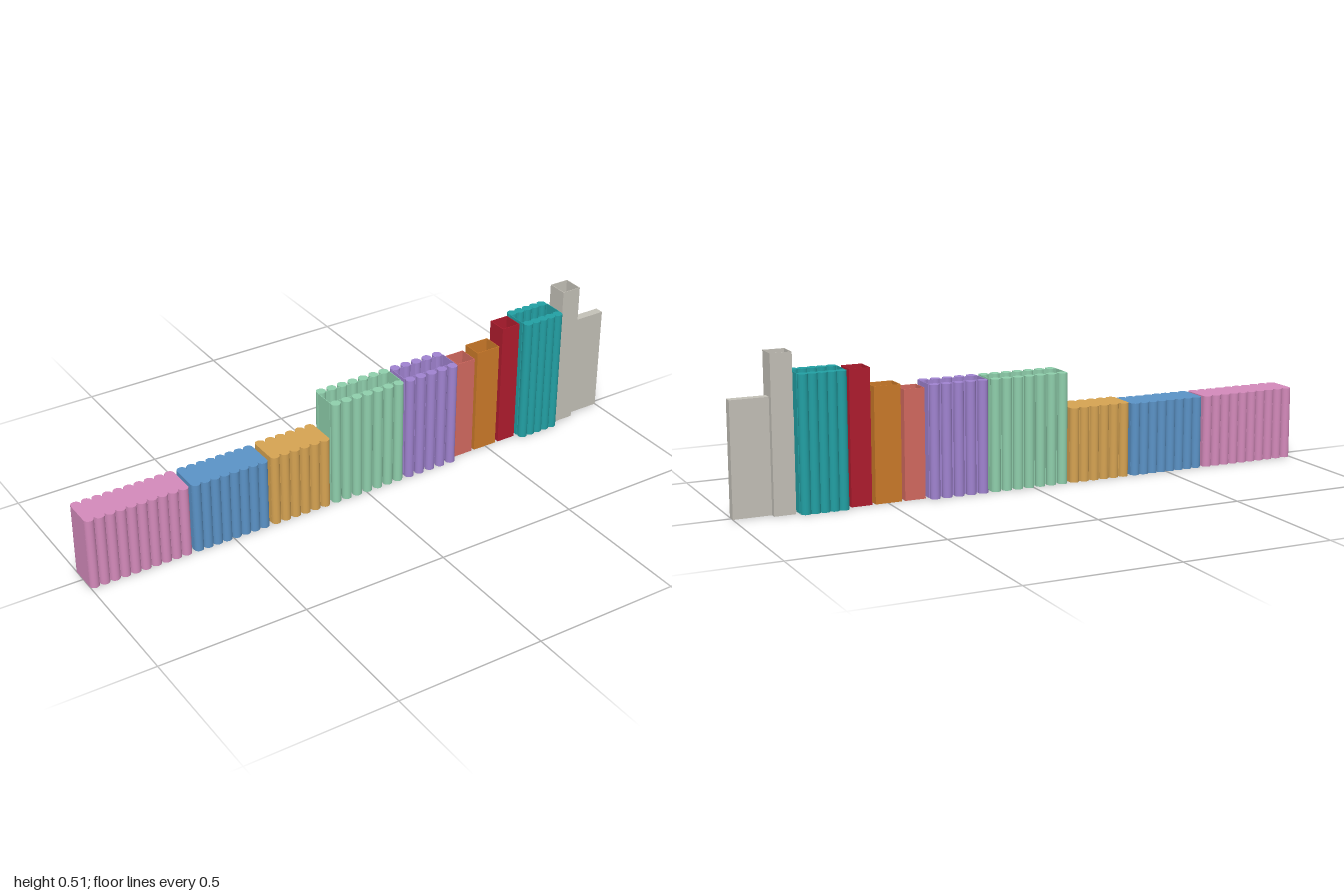
import * as THREE from 'three';

const mat = (name, color) => {
  const m = new THREE.MeshStandardMaterial({ color, side: THREE.DoubleSide });
  m.name = name;
  return m;
};

// name, colour, x start, x end, height, ribs per side (0 = plain), closed top
const SECTIONS = [
  ['pink', 0xd48abb, -1.0, -0.648, 0.245, 10, true],
  ['blue', 0x5b93c7, -0.638, -0.367, 0.245, 8, true],
  ['gold', 0xd6a352, -0.356, -0.138, 0.25, 6, true],
  ['green', 0x8fcfac, -0.127, 0.147, 0.37, 7, false],
  ['purple', 0xa083d0, 0.159, 0.36, 0.37, 5, false],
  ['salmon', 0xd46a60, 0.372, 0.442, 0.36, 0, false],
  ['orange', 0xcc7a29, 0.453, 0.542, 0.378, 0, false],
  ['red', 0xb01c2e, 0.554, 0.623, 0.44, 0, false],
  ['teal', 0x22a0a4, 0.635, 0.793, 0.44, 5, false],
  ['stone', 0xc4c1b8, 0.805, 0.875, 0.508, 0, false],
];
const HALF = 0.035, WALL = 0.002, RIB = 0.0165, RIB_Z = 0.045;

function add(parent, name, geometry, material, x, y, z) {
  const mesh = new THREE.Mesh(geometry, material);
  mesh.name = name;
  mesh.position.set(x, y, z);
  parent.add(mesh);
  return mesh;
}

function rect(Type, hx, hz) {
  const p = new Type();
  p.moveTo(-hx, -hz);
  p.lineTo(hx, -hz);
  p.lineTo(hx, hz);
  p.lineTo(-hx, hz);
  p.closePath();
  return p;
}

// Thin rectangular sleeve, open at both ends
function sleeve(width, height, halfDepth) {
  const s = rect(THREE.Shape, width / 2, halfDepth);
  s.holes.push(rect(THREE.Path, width / 2 - WALL, halfDepth - WALL));
  const g = new THREE.ExtrudeGeometry(s, { depth: height, bevelEnabled: false });
  g.rotateX(-Math.PI / 2);
  return g;
}

export function createModel() {
  const root = new THREE.Group();
  root.name = 'sectionedWall';
  let stone;

  SECTIONS.forEach(([name, color, x0, x1, h, ribs, closed], i) => {
    const group = new THREE.Group();
    group.name = name + 'Section';
    const material = mat(name, color);
    const w = x1 - x0, cx = (x0 + x1) / 2;
    add(group, name + 'Sleeve', sleeve(w, h, closed ? 0.046 : HALF), material, cx, 0, 0);

    // Round ribs along both long sides
    const pitch = ribs > 1 ? (w - 2 * RIB) / (ribs - 1) : 0;
    for (let k = 0; k < ribs; k++) {
      for (const side of [-1, 1]) {
        add(group, name + 'Rib', new THREE.CylinderGeometry(RIB, RIB, h, 16),
          material, x0 + RIB + k * pitch, h / 2, side * RIB_Z);
      }
    }
    // Flat cover on the low sections
    if (closed) {
      add(group, name + 'Cover', new THREE.BoxGeometry(w, 0.004, 0.092), material, cx, h - 0.002, 0);
    }
    // Slim core pin in the plain sections
    if (!ribs) {
      const r = name === 'red' ? 0.014 : 0.007;
      add(group, name + 'Pin', new THREE.CylinderGeometry(r, r, h * 0.6, 12), material, cx, h * 0.3, 0);
    }
    root.add(group);
    stone = material;
  });

  // Thin webs joining neighbouring sections
  for (let i = 0; i < SECTIONS.length - 1; i++) {
    const a = SECTIONS[i][3], b = SECTIONS[i + 1][2];
    const h = i < 3 ? 0.225 : i < 7 ? 0.24 : 0.3;
    add(root, 'joiningWeb', new THREE.BoxGeometry(b - a, h, 0.004), stone, (a + b) / 2, h / 2, 0);
  }

  // Narrow solid end block
  add(root, 'endBlock', new THREE.BoxGeometry(0.125, 0.371, 0.03), stone, 0.9375, 0.1855, 0);
  return root;
}
